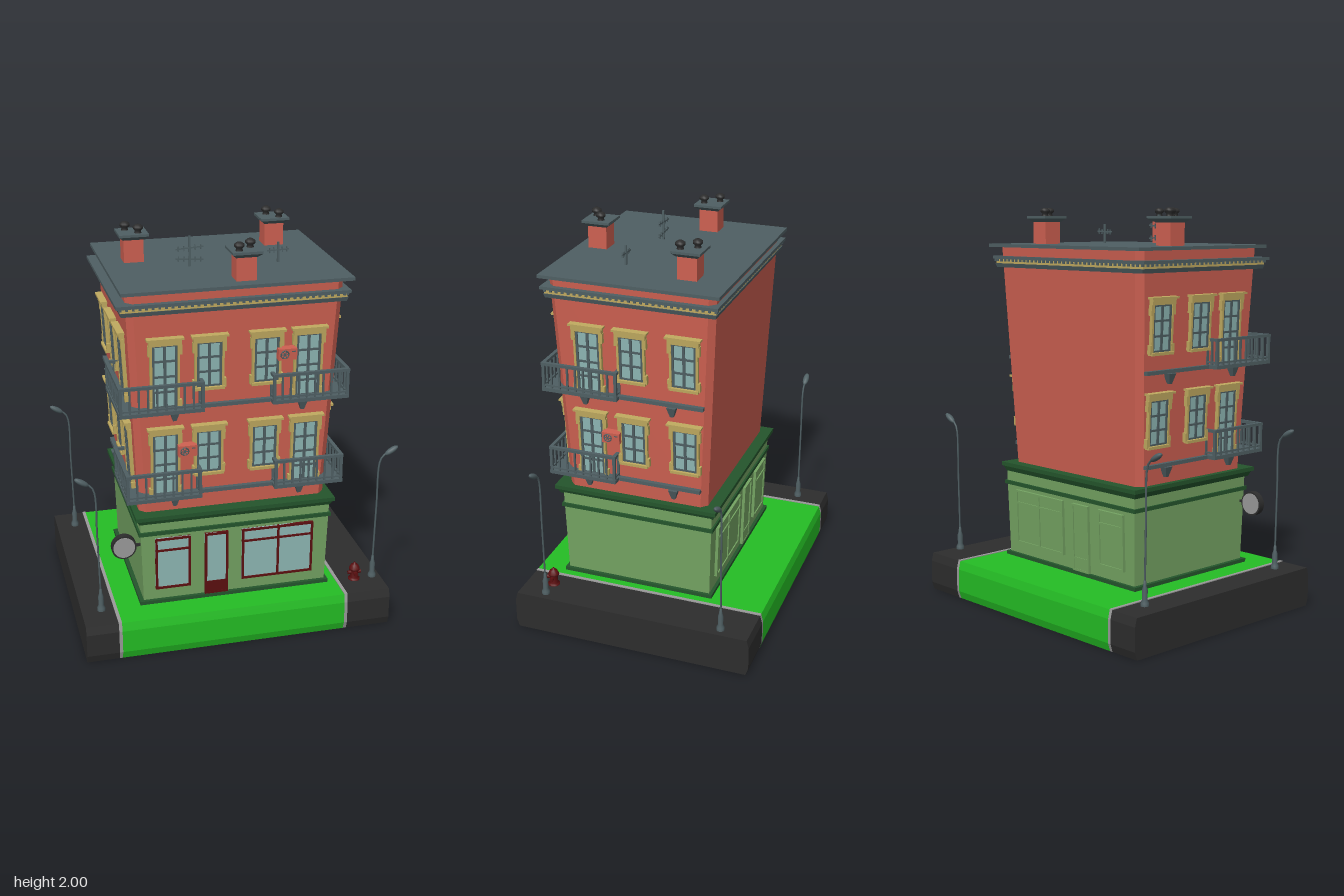
import * as THREE from 'three';

const paint = (name, color) => Object.assign(new THREE.MeshStandardMaterial({ color }), { name });
const brick = paint('brick', 0xcd6051), grass = paint('grass', 0x24bd24), sage = paint('sage wall', 0x74a362);
const pine = paint('dark green trim', 0x24552c), slate = paint('slate', 0x4f5f63), asphalt = paint('asphalt', 0x2d2d2d);
const glass = paint('glass', 0x8fb8b5), tan = paint('tan stone', 0xbfa95f), maroon = paint('maroon', 0x5c0f10);
const grey = paint('grey', 0x9a9a9a);

function add(parent, name, geo, mat, x = 0, y = 0, z = 0) {
  const m = new THREE.Mesh(geo, mat);
  m.name = name;
  m.position.set(x, y, z);
  parent.add(m);
  return m;
}
const box = (p, name, mat, w, h, d, x, y, z) => add(p, name, new THREE.BoxGeometry(w, h, d), mat, x, y, z);
const group = (p, name, x = 0, y = 0, z = 0) => {
  const g = new THREE.Group();
  g.name = name;
  g.position.set(x, y, z);
  p.add(g);
  return g;
};
const lathe = (prof, n) => new THREE.LatheGeometry(prof.map(q => new THREE.Vector2(...q)), n);

// Four-sided tapered block with flat faces
function taper(top, bottom, h) {
  const geo = new THREE.CylinderGeometry(top, bottom, h, 4).rotateY(Math.PI / 4).toNonIndexed();
  geo.computeVertexNormals();
  return geo;
}

// Block between bounds whose top spreads outwards by grow; corners may be cut
function block(p, name, mat, [xL, xR, zB, zF], y0, y1, grow = 0, cut = 0) {
  const c = cut, pts = c
    ? [[xL + c, -zF], [xR - c, -zF], [xR, c - zF], [xR, -zB - c], [xR - c, -zB], [xL + c, -zB], [xL, -zB - c], [xL, c - zF]]
    : [[xL, -zF], [xR, -zF], [xR, -zB], [xL, -zB]];
  const geo = new THREE.ExtrudeGeometry(new THREE.Shape(pts.map(q => new THREE.Vector2(...q))), { depth: y1 - y0, bevelEnabled: false });
  geo.rotateX(-Math.PI / 2);
  const a = geo.attributes.position, mx = (xL + xR) / 2, mz = (zB + zF) / 2;
  for (let i = 0; i < a.count; i++) {
    if (a.getY(i) < (y1 - y0) / 2) continue;
    a.setX(i, a.getX(i) + Math.sign(a.getX(i) - mx) * grow);
    a.setZ(i, a.getZ(i) + Math.sign(a.getZ(i) - mz) * grow);
  }
  geo.computeVertexNormals();
  add(p, name, geo, mat, 0, y0, 0);
}

const LEAN = 0.045, FLOOR = 0.69;
// Bounds of the upper wall at a height, pushed out by e
const wallAt = (y, e = 0) => {
  const g = (y - FLOOR) * LEAN + e;
  return [-0.492 - g, 0.436 + g, -0.29 - g, 0.436 + g];
};

// Upper window: glazing bars, tan surround
function upperWindow(f, u, y0, y1) {
  const g = group(f, 'upperWindow', u, y0 - FLOOR, 0), w = 0.11, h = y1 - y0, rows = h > 0.25 ? 4 : 3;
  box(g, 'pane', glass, w, h, 0.008, 0, h / 2, 0.004);
  for (const x of [-w / 2, 0, w / 2]) box(g, 'upright', slate, 0.013, h, 0.016, x, h / 2, 0.006);
  for (let i = 0; i <= rows; i++) box(g, 'crossbar', slate, w + 0.012, 0.01, 0.015, 0, h * i / rows, 0.006);
  box(g, 'header', tan, w + 0.045, 0.028, 0.026, 0, h + 0.018, 0.012);
  box(g, 'headerCap', tan, w + 0.065, 0.01, 0.036, 0, h + 0.036, 0.016);
  box(g, 'sill', tan, w + 0.035, 0.014, 0.03, 0, -0.01, 0.012);
  for (const s of [-1, 1]) {
    box(g, 'jamb', tan, 0.011, h, 0.02, s * (w / 2 + 0.01), h / 2, 0.008);
    box(g, 'upperEar', tan, 0.02, 0.05, 0.022, s * (w / 2 + 0.015), h - 0.02, 0.009);
    box(g, 'lowerEar', tan, 0.02, 0.045, 0.022, s * (w / 2 + 0.015), 0.012, 0.009);
  }
}

function airConditioner(f, u, y) {
  const g = group(f, 'airConditioner', u, y - FLOOR, 0.02);
  box(g, 'case', brick, 0.09, 0.056, 0.045, 0, 0, 0);
  add(g, 'fanRing', new THREE.TorusGeometry(0.019, 0.003, 6, 14), slate, -0.015, 0, 0.023);
  for (let i = 0; i < 3; i++) box(g, 'fanBlade', slate, 0.034, 0.004, 0.004, -0.015, 0, 0.023).rotation.z = i * Math.PI / 3;
  box(g, 'vent', slate, 0.018, 0.005, 0.004, 0.028, 0.014, 0.022);
}

// Plane of fittings leaning with an upper wall; u runs left to right seen from outside
function facade(p, name, x, z, turn, doors, windows) {
  const outer = group(p, name, x, FLOOR, z);
  outer.rotation.y = turn;
  const f = group(outer, 'leaningFace');
  f.rotation.x = LEAN;
  for (const [doorY, winY, top] of [[0.79, 0.89, 1.1], [1.245, 1.335, 1.55]]) {
    doors.forEach(u => upperWindow(f, u, doorY, top));
    windows.forEach(u => upperWindow(f, u, winY, top));
  }
  return f;
}

// Balcony that wraps a front corner
function balcony(p, y, xin, xout, zF, zB) {
  const g = group(p, 'cornerBalcony'), s = Math.sign(xout), w = wallAt(y), wx = s > 0 ? w[1] : w[0], wz = w[3];
  box(g, 'frontSlab', slate, Math.abs(xout - xin), 0.018, zF - wz + 0.01, (xin + xout) / 2, y, (zF + wz - 0.01) / 2);
  box(g, 'sideSlab', slate, Math.abs(xout - wx) + 0.01, 0.018, zF - zB, (xout + wx - s * 0.01) / 2, y, (zF + zB) / 2);
  const k = 0.008, X = xout - s * k, Z = zF - k;
  const path = [[xin + s * k, wz], [xin + s * k, Z], [X, Z], [X, zB + k], [wx, zB + k]];
  for (let i = 0; i < 4; i++) {
    const [ax, az] = path[i], [bx, bz] = path[i + 1], L = Math.hypot(bx - ax, bz - az);
    const side = group(g, 'railing', (ax + bx) / 2, y, (az + bz) / 2);
    side.rotation.y = -Math.atan2(bz - az, bx - ax);
    box(side, 'handrail', slate, L + 0.016, 0.014, 0.018, 0, 0.132, 0);
    box(side, 'footRail', slate, L, 0.008, 0.01, 0, 0.022, 0);
    const n = Math.max(1, Math.round(L / 0.042));
    for (let j = 0; j <= n; j++) {
      const t = j === 0 || j === n ? 0.014 : 0.009;
      box(side, 'baluster', slate, t, 0.13, t, -L / 2 + L * j / n, 0.07, 0);
    }
  }
  const bracket = taper(0.032, 0.012, 0.05);
  add(g, 'frontBracket', bracket, slate, s > 0 ? 0.295 : -0.325, y - 0.034, wz + 0.02);
  add(g, 'sideBracket', bracket, slate, wx + s * 0.02, y - 0.034, 0.31);
  add(g, 'rearBracket', bracket, slate, wx + s * 0.014, y - 0.034, -0.13);
}

// Shopfront openings: the front is glazed, the back is blind panelling
function shopfront(p, name, z, sign, trim, fill, panel) {
  const g = group(p, name, 0, 0.2, z);
  g.rotation.x = 0.025 * sign;
  const bar = (x0, x1, y0, y1) => box(g, 'frameBar', trim, x1 - x0, y1 - y0, 0.022, (x0 + x1) / 2, (y0 + y1) / 2 - 0.2, 0);
  const t = 0.011, y1 = 0.555;
  for (const [x0, x1, y0, mids] of [[-0.425, -0.25, 0.275, []], [-0.178, -0.06, 0.215, []], [0.01, 0.375, 0.275, [0.19]]]) {
    box(g, 'pane', fill, x1 - x0, y1 - y0, 0.01, (x0 + x1) / 2, (y0 + y1) / 2 - 0.2, 0);
    bar(x0, x0 + t, y0, y1);
    bar(x1 - t, x1, y0, y1);
    bar(x0, x1, y0, y0 + t);
    bar(x0, x1, y1 - t, y1);
    mids.forEach(m => bar(m, m + t, y0, y1));
    if (y0 > 0.25) bar(x0, x1, 0.484, 0.494);
    else box(g, 'doorPanel', panel, x1 - x0, 0.07, 0.018, (x0 + x1) / 2, 0.05, 0);
  }
}

function streetLamp(p, x, z) {
  const g = group(p, 'streetLamp', x, 0.2, z);
  if (x < 0) g.rotation.y = Math.PI;
  const prof = [[0.02, 0], [0.02, 0.015], [0.013, 0.03], [0.014, 0.075], [0.008, 0.095], [0.006, 0.12], [0, 0.12]];
  add(g, 'lampFoot', lathe(prof, 10), slate);
  const curve = new THREE.CatmullRomCurve3([[0, 0.1], [0.006, 0.4], [0.012, 0.64], [0.03, 0.675], [0.06, 0.69]].map(q => new THREE.Vector3(...q, 0)));
  add(g, 'lampPole', new THREE.TubeGeometry(curve, 24, 0.005, 6), slate);
  const head = add(g, 'lampHead', new THREE.SphereGeometry(1, 12, 8), slate, 0.07, 0.698, 0);
  head.scale.set(0.04, 0.014, 0.016);
  head.rotation.z = 0.55;
}

function chimney(p, x, z, pots) {
  const g = group(p, 'chimney', x, 1.815, z);
  box(g, 'stack', brick, 0.096, 0.12, 0.096, 0, 0.06, 0);
  add(g, 'capFlare', taper(0.1, 0.072, 0.018), slate, 0, 0.122, 0);
  box(g, 'cap', slate, 0.143, 0.012, 0.143, 0, 0.137, 0);
  const prof = [[0.018, 0], [0.014, 0.012], [0.024, 0.022], [0.024, 0.032], [0.012, 0.041], [0, 0.042]];
  for (const [px, pz] of pots) add(g, 'chimneyPot', lathe(prof, 10), asphalt, px - x, 0.142, pz - z);
}

function aerial(p, x, z, h, bars, w) {
  const g = group(p, 'aerial', x, 1.815, z);
  box(g, 'mast', slate, 0.01, h, 0.01, 0, h / 2, 0);
  bars.forEach(([y, tilt]) => {
    const b = group(g, 'aerialBar', 0, y, 0);
    b.rotation.z = tilt;
    box(b, 'boom', slate, w, 0.007, 0.007, 0, 0, 0);
    for (let i = -2; i <= 2; i++) box(b, 'element', slate, 0.005, 0.026, 0.007, i * w / 5, 0, 0);
  });
}

export function createModel() {
  const root = new THREE.Group();
  root.name = 'cornerBuilding';

  // Ground strips with softened front and back ends
  const strip = (name, mat, x0, x1, e = 0) => {
    const pts = [[-0.6, 0], [0.6, 0], [0.613, 0.04], [0.613, 0.155], [0.602, 0.197 + e], [-0.602, 0.197 + e], [-0.613, 0.155], [-0.613, 0.04]];
    const geo = new THREE.ExtrudeGeometry(new THREE.Shape(pts.map(q => new THREE.Vector2(...q))), { depth: x1 - x0, bevelEnabled: false });
    add(root, name, geo.rotateY(-Math.PI / 2), mat, x1, 0, 0);
  };
  strip('rightRoad', asphalt, -0.797, -0.638);
  strip('rightCurb', grey, -0.638, -0.622, 0.004);
  strip('lawn', grass, -0.622, 0.505);
  strip('leftCurb', grey, 0.505, 0.521, 0.004);
  strip('leftRoad', asphalt, 0.521, 0.743);

  // Shop storey
  block(root, 'plinth', pine, [-0.505, 0.462, -0.33, 0.464], 0.195, 0.215);
  block(root, 'shopWalls', sage, [-0.484, 0.446, -0.313, 0.446], 0.2, 0.655, 0.012);
  block(root, 'thinBand', pine, [-0.504, 0.466, -0.333, 0.467], 0.575, 0.594);
  block(root, 'shopCornice', pine, [-0.503, 0.455, -0.33, 0.476], 0.645, 0.672, 0.012);
  block(root, 'shopCorniceTop', pine, [-0.522, 0.472, -0.348, 0.5], 0.672, 0.692);
  shopfront(root, 'shopfront', 0.45, 1, maroon, glass, maroon);
  shopfront(root, 'backPanelling', -0.317, -1, sage, sage, sage);

  // Upper storeys and their fittings
  block(root, 'upperWalls', brick, wallAt(FLOOR), FLOOR, 1.805, 1.115 * LEAN, 0.03);
  const front = facade(root, 'frontFittings', 0, 0.436, 0, [-0.367, 0.32], [-0.157, 0.117]);
  const left = facade(root, 'leftFittings', 0.436, 0, Math.PI / 2, [-0.29], [-0.072, 0.19]);
  facade(root, 'rightFittings', -0.492, 0, -Math.PI / 2, [0.29], [0.072, -0.19]);
  airConditioner(front, 0.21, 1.47);
  airConditioner(front, -0.265, 1.02);
  airConditioner(left, -0.18, 1.02);
  for (const y of [0.785, 1.235]) {
    const [xL, xR, , zF] = wallAt(y, 0.022);
    block(root, 'stringCourse', slate, [xL, xR, y > 1 ? -0.285 : -0.265, zF], y - 0.009, y + 0.009);
  }
  balcony(root, 0.785, -0.2, -0.565, 0.512, 0.155);
  balcony(root, 0.785, 0.16, 0.505, 0.505, 0.155);
  balcony(root, 1.235, -0.19, -0.592, 0.53, 0.135);
  balcony(root, 1.235, 0.14, 0.515, 0.522, 0.135);

  // Cornice with small blocks, and flat roof
  block(root, 'corniceLower', slate, [-0.565, 0.495, -0.345, 0.493], 1.7, 1.72, 0.006);
  block(root, 'corniceStone', tan, [-0.568, 0.496, -0.347, 0.496], 1.72, 1.745);
  block(root, 'corniceUpper', slate, [-0.59, 0.51, -0.36, 0.513], 1.742, 1.757);
  const [xL, xR, zB, zF] = [-0.569, 0.497, -0.348, 0.497];
  const dentil = (x, z) => box(root, 'corniceBlock', slate, 0.012, 0.012, 0.012, x, 1.736, z);
  for (let x = xL; x < xR; x += 0.03) for (const z of [zB, zF]) dentil(x, z);
  for (let z = zB; z < zF; z += 0.03) for (const x of [xL, xR]) dentil(x, z);
  block(root, 'roof', slate, [-0.568, 0.525, -0.372, 0.516], 1.802, 1.818);

  // Rooftop
  chimney(root, -0.418, -0.015, [[-0.445, -0.05], [-0.393, 0.017]]);
  chimney(root, 0.316, -0.162, [[0.295, -0.19], [0.342, -0.122]]);
  chimney(root, 0.025, 0.405, [[-0.008, 0.44], [0.057, 0.39]]);
  aerial(root, -0.174, 0.155, 0.15, [[0.092, 0.06], [0.037, -0.08]], 0.135);
  aerial(root, 0.252, 0.182, 0.1, [[0.062, 0.03]], 0.105);

  // Street furniture
  for (const x of [-0.7, 0.7]) for (const z of [-0.457, 0.464]) streetLamp(root, x, z);
  const sign = group(root, 'roundSign', -0.575, 0.52, 0.433);
  add(sign, 'signRim', new THREE.CylinderGeometry(0.061, 0.061, 0.032, 24).rotateX(Math.PI / 2), asphalt);
  add(sign, 'signFace', new THREE.CylinderGeometry(0.053, 0.053, 0.038, 24).rotateX(Math.PI / 2), grey);
  box(sign, 'signArm', asphalt, 0.045, 0.012, 0.012, 0.075, 0, 0);
  const hyd = group(root, 'hydrant', 0.604, 0.195, 0.464);
  const prof = [[0.03, 0], [0.03, 0.01], [0.02, 0.014], [0.02, 0.055], [0.028, 0.058], [0.027, 0.066], [0.018, 0.084], [0.007, 0.088], [0.006, 0.096], [0, 0.096]];
  add(hyd, 'hydrantBody', lathe(prof, 12), maroon);
  add(hyd, 'hydrantOutlets', new THREE.CylinderGeometry(0.01, 0.01, 0.068, 8).rotateZ(Math.PI / 2), maroon, 0, 0.042, 0);
  add(hyd, 'hydrantNozzle', new THREE.CylinderGeometry(0.011, 0.011, 0.03, 8).rotateX(Math.PI / 2), maroon, 0, 0.042, 0.018);
  return root;
}
